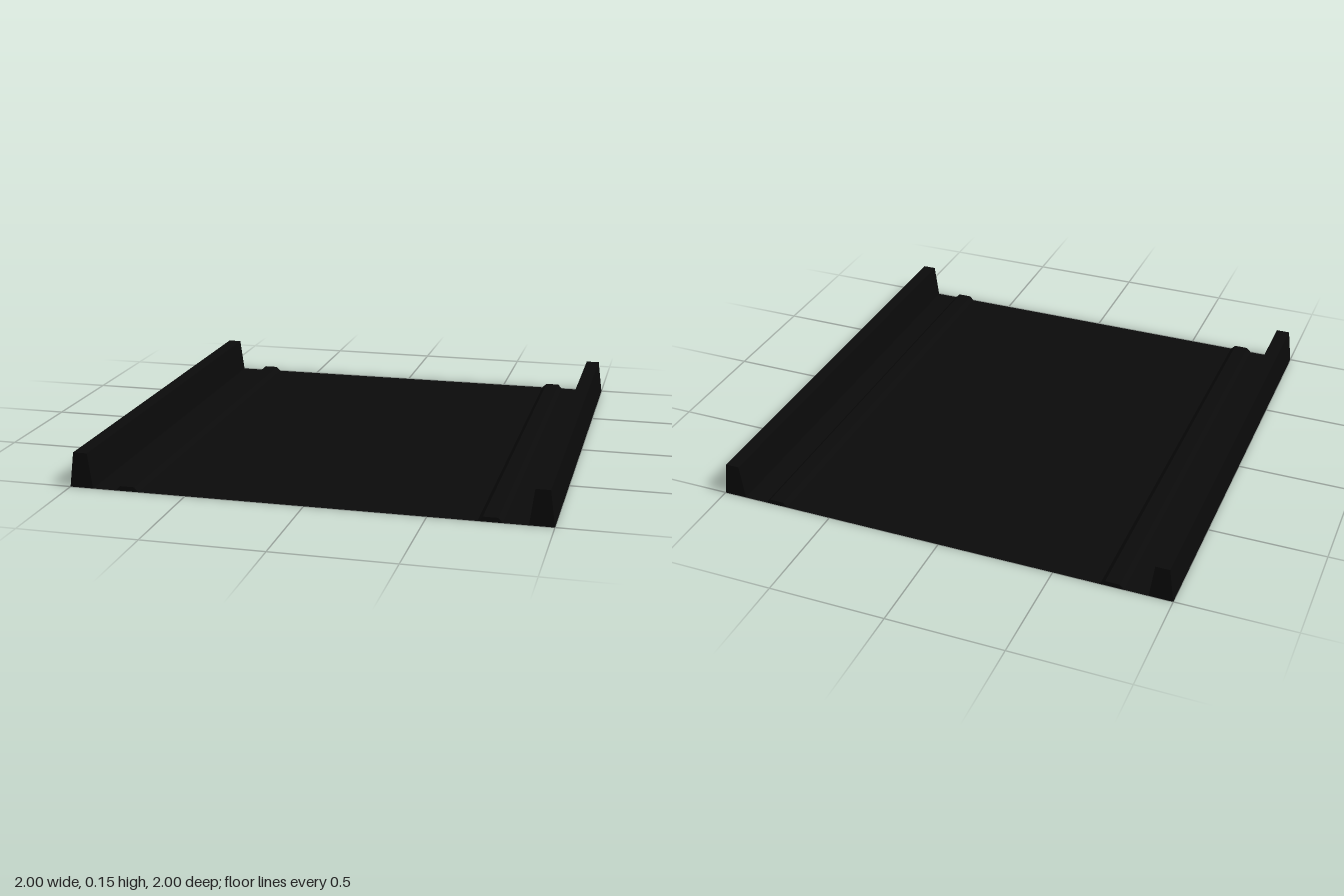
import * as THREE from 'three';

const LENGTH = 2;

// Bar along z with a trapezoid section: base from x0 to x1, top edges inset.
function taperedBar(name, x0, x1, height, inset, material) {
  const section = new THREE.Shape([
    new THREE.Vector2(x0, 0),
    new THREE.Vector2(x1, 0),
    new THREE.Vector2(x1 - inset, height),
    new THREE.Vector2(x0 + inset, height),
  ]);
  const geometry = new THREE.ExtrudeGeometry(section, { depth: LENGTH, bevelEnabled: false });
  geometry.translate(0, 0, -LENGTH / 2);
  const mesh = new THREE.Mesh(geometry, material);
  mesh.name = name;
  return mesh;
}

export function createModel() {
  const group = new THREE.Group();
  group.name = 'trackSection';

  const black = new THREE.MeshStandardMaterial({ color: 0x0a0a0a });
  black.name = 'black';
  const deckBlack = new THREE.MeshStandardMaterial({ color: 0x0a0a0a, side: THREE.DoubleSide });
  deckBlack.name = 'deck black';

  // Flat sheet deck, seen from both sides
  const deck = new THREE.Mesh(new THREE.PlaneGeometry(2, LENGTH).rotateX(-Math.PI / 2), deckBlack);
  deck.name = 'deck';
  group.add(deck);

  // Tall side walls and low inner ridges, one of each per side
  for (const [side, s] of [['left', 1], ['right', -1]]) {
    const wall = taperedBar(side + 'Wall', -0.05, 0.05, 0.15, 0.02, black);
    wall.position.x = s * 0.95;
    const ridge = taperedBar(side + 'Ridge', -0.05, 0.05, 0.02, 0.02, black);
    ridge.position.x = s * 0.75;
    group.add(wall, ridge);
  }
  return group;
}
